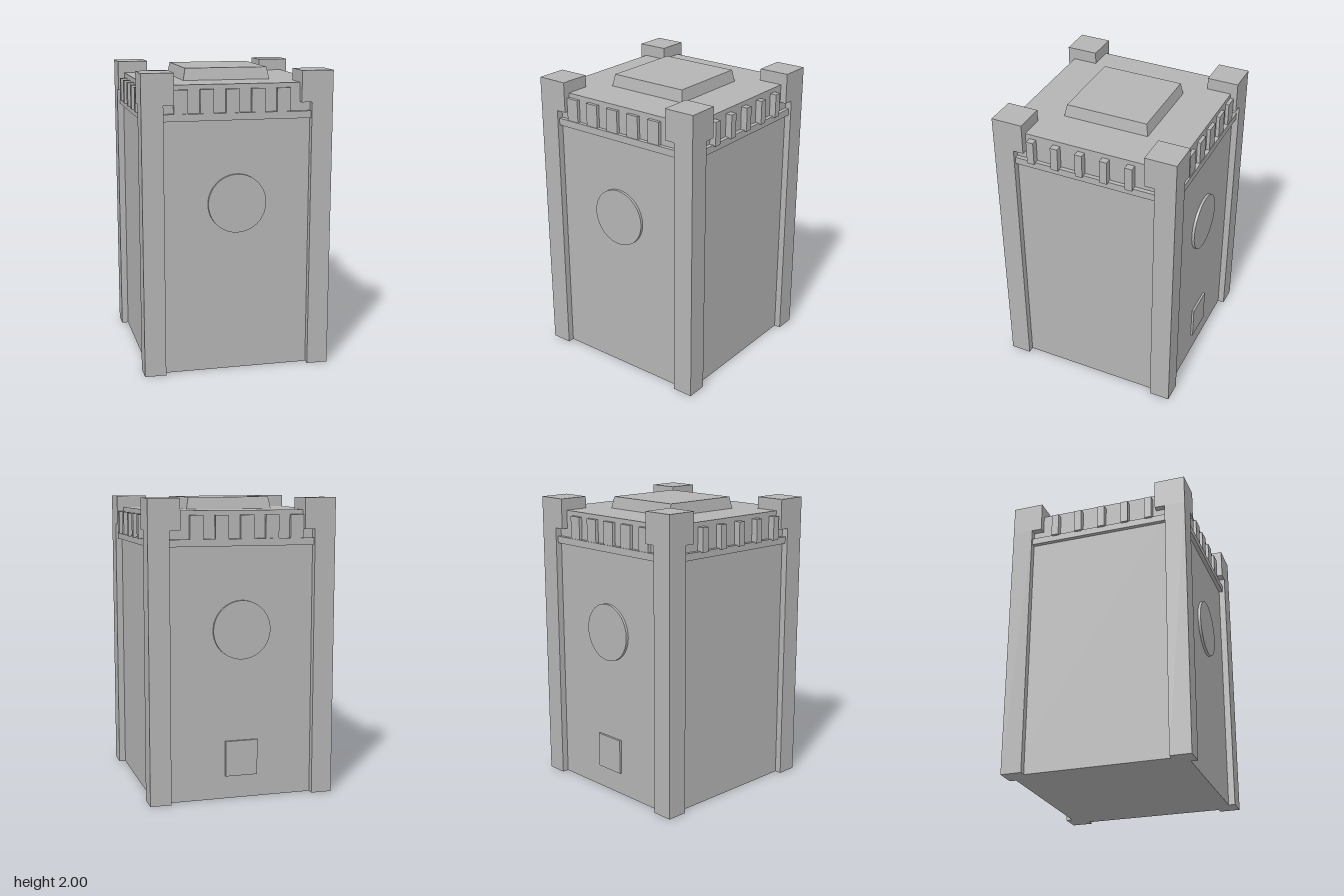
import * as THREE from 'three';

export function createModel() {
  const model = new THREE.Group();
  model.name = 'tower';
  const stone = new THREE.MeshStandardMaterial({ color: 0xb4b4b4 });
  stone.name = 'stone grey';

  const add = (name, geometry, x, y, z) => {
    const mesh = new THREE.Mesh(geometry, stone);
    mesh.name = name;
    mesh.position.set(x, y, z);
    model.add(mesh);
    return mesh;
  };
  // Box given by its lower and upper limits on each axis
  const box = (name, [x0, x1], [y0, y1], [z0, z1]) =>
    add(name, new THREE.BoxGeometry(x1 - x0, y1 - y0, z1 - z0),
      (x0 + x1) / 2, (y0 + y1) / 2, (z0 + z1) / 2);
  const span = (s, a, b) => (s > 0 ? [a, b] : [-b, -a]);

  const WALL = 0.587, LEDGE = 0.615, OUTER = 0.632;

  // Main shaft with flat roof
  box('shaft', [-WALL, WALL], [0, 1.92], [-WALL, WALL]);

  // Corner pillars with wider caps
  for (const sx of [-1, 1]) {
    for (const sz of [-1, 1]) {
      box('cornerPillar', span(sx, 0.49, OUTER), [0, 1.795], span(sz, 0.49, OUTER));
      box('cornerCap', span(sx, 0.42, OUTER), [1.795, 2], span(sz, 0.42, OUTER));
    }
  }

  // Ledges and the row of small blocks standing on each one
  for (const s of [-1, 1]) {
    box('ledge', [-0.5, 0.5], [1.69, 1.737], span(s, WALL - 0.02, LEDGE));
    box('sideLedge', span(s, WALL - 0.02, LEDGE), [1.69, 1.737], [-0.5, 0.5]);
    for (let i = 0; i < 5; i++) {
      const x = -0.418 + i * 0.17, z = -0.34 + i * 0.171;
      box('dentil', [x, x + 0.09], [1.735, 1.89], span(s, WALL - 0.02, 0.61));
      box('sideDentil', span(s, WALL - 0.02, OUTER), [1.73, 1.89], [z, z + 0.05]);
    }
  }

  // Raised roof panel with sloping edges
  const panel = new THREE.CylinderGeometry(0.28 * Math.SQRT2, 0.295 * Math.SQRT2, 0.08, 4, 1)
    .rotateY(Math.PI / 4).toNonIndexed();
  panel.computeVertexNormals();
  add('roofPanel', panel, 0, 1.96, 0);

  // Round plates on front and back
  for (const s of [-1, 1]) {
    add('roundPlate', new THREE.CylinderGeometry(0.195, 0.195, 0.04, 64).rotateX(Math.PI / 2),
      0, 1.14, s * (WALL - 0.002));
  }

  // Small hatch low on the back
  box('backHatch', [-0.11, 0.11], [0.155, 0.395], [-WALL - 0.015, -WALL + 0.02]);

  return model;
}
